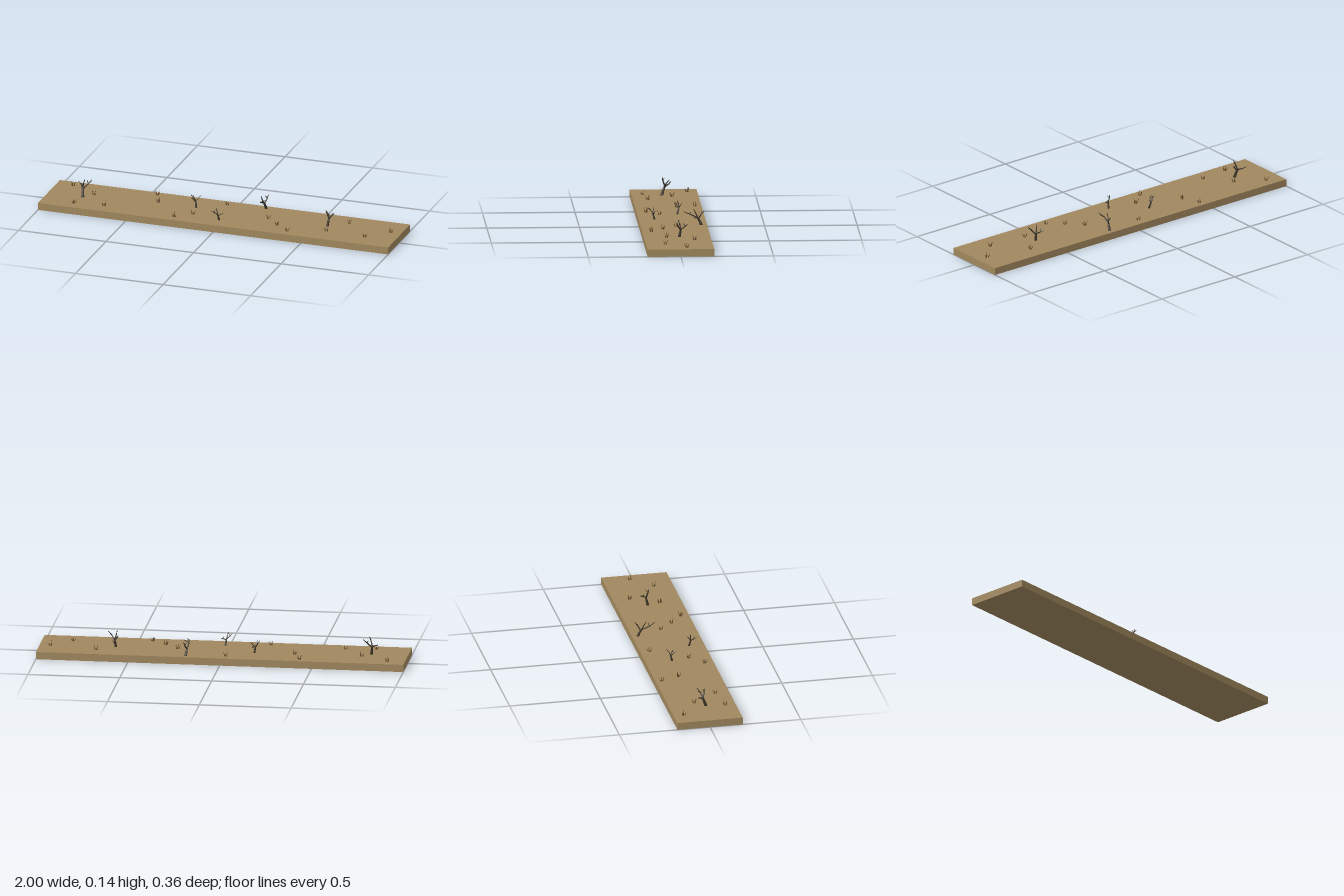
import * as THREE from 'three';

const UP = new THREE.Vector3(0, 1, 0);
const GROUND = 0.04;
const vec = (x, y, z) => new THREE.Vector3(x, y, z);

// Tapered cylinder between two points
function stick(from, to, r0, r1, sides, material, name) {
  const dir = to.clone().sub(from);
  const geometry = new THREE.CylinderGeometry(r1, r0, dir.length(), sides);
  const mesh = new THREE.Mesh(geometry, material);
  mesh.position.copy(from).addScaledVector(dir, 0.5);
  mesh.quaternion.setFromUnitVectors(UP, dir.normalize());
  mesh.name = name;
  return mesh;
}

// Two tapered sticks with a kink at the elbow
function limb(from, elbow, to, r0, r1, material, name) {
  const group = new THREE.Group();
  group.name = name;
  const mid = (r0 + r1) / 2;
  group.add(stick(from, elbow, r0, mid, 6, material, name + 'Lower'));
  group.add(stick(elbow, to, mid, r1, 6, material, name + 'Upper'));
  return group;
}

// Dead shrub: bent trunk, one kinked branch per tip, and a side twig on every other branch
function deadShrub(r, [baseX, baseZ], forkAt, tips, material) {
  const shrub = new THREE.Group();
  shrub.name = 'deadShrub';
  const base = vec(baseX, GROUND - 0.005, baseZ);
  const fork = vec(...forkAt);
  const bend = base.clone().lerp(fork, 0.5);
  bend.y += 0.003;
  shrub.add(limb(base, bend, fork, r, r * 0.6, material, 'trunk'));
  tips.forEach((tipAt, i) => {
    const tip = vec(...tipAt);
    const start = bend.clone().lerp(fork, 1 - 0.15 * i);
    const span = tip.clone().sub(start);
    const elbow = start.clone().addScaledVector(span, 0.55);
    elbow.x -= span.z * 0.12;
    elbow.z += span.x * 0.12;
    shrub.add(limb(start, elbow, tip, r * 0.5, r * 0.22, material, 'branch'));
    if (i % 2 === 0) {
      const end = elbow.clone().add(vec(span.z * 0.35, 0.015, -span.x * 0.35));
      shrub.add(stick(elbow, end, r * 0.32, r * 0.2, 6, material, 'twig'));
    }
  });
  return shrub;
}

// Trunk radius, base x and z, fork point, branch tips
const SHRUBS = [
  [0.009, [-0.8, 0.02], [-0.807, 0.09, 0],
    [[-0.79, 0.14, 0.015], [-0.843, 0.107, -0.033], [-0.762, 0.13, -0.023]]],
  [0.006, [-0.17, -0.035], [-0.178, 0.077, -0.046],
    [[-0.2, 0.11, -0.037], [-0.155, 0.104, -0.065], [-0.193, 0.1, -0.022]]],
  [0.006, [0.005, 0.094], [0, 0.074, 0.104],
    [[-0.027, 0.1, 0.13], [-0.01, 0.11, 0.1], [0.028, 0.08, 0.092]]],
  [0.008, [0.19, -0.151], [0.183, 0.078, -0.13],
    [[0.19, 0.112, -0.055], [0.175, 0.124, -0.108], [0.197, 0.118, -0.163]]],
  [0.008, [0.587, -0.01], [0.593, 0.084, -0.02],
    [[0.567, 0.106, -0.056], [0.58, 0.132, -0.006], [0.63, 0.123, 0.002]]],
];

// Grass tuft centres: x, z
const TUFTS = [
  [-0.905, -0.125], [-0.755, -0.035], [-0.815, 0.12], [-0.65, 0.1],
  [-0.43, -0.145], [-0.39, -0.045], [-0.24, 0.13], [-0.155, 0.06],
  [-0.025, -0.13], [0.25, -0.01], [0.325, 0.065], [0.405, 0.13],
  [0.605, 0.06], [0.685, -0.09], [0.83, 0.075], [0.94, -0.035],
];

// Dry grass: five blades splayed around the centre, varied by the tuft's number
function grassTuft(x, z, t, material) {
  const tuft = new THREE.Group();
  tuft.name = 'grassTuft';
  tuft.position.set(x, GROUND, z);
  tuft.rotation.y = t * 1.3;
  for (let i = 0; i < 5; i++) {
    const a = (i / 5) * Math.PI * 2 + 0.2 * Math.sin(t + i * 2);
    const c = Math.cos(a), s = Math.sin(a);
    const reach = 0.013 + 0.004 * Math.sin(i * 3 + t);
    const height = 0.023 + 0.004 * Math.cos(i * 2 + t);
    tuft.add(stick(vec(c * 0.006, -0.001, s * 0.006), vec(c * reach, height, s * reach),
      0.0023, 0.0003, 4, material, 'grassBlade'));
  }
  return tuft;
}

export function createModel() {
  const model = new THREE.Group();
  model.name = 'dryGroundStrip';
  const earth = new THREE.MeshStandardMaterial({ color: 0xa1885e });
  const bark = new THREE.MeshStandardMaterial({ color: 0x3f382d });
  const straw = new THREE.MeshStandardMaterial({ color: 0x66492a });

  // Ground slab
  const slab = new THREE.Mesh(new THREE.BoxGeometry(2, GROUND, 0.36), earth);
  slab.position.y = GROUND / 2;
  slab.name = 'ground';
  model.add(slab);

  for (const [r, base, fork, tips] of SHRUBS) model.add(deadShrub(r, base, fork, tips, bark));
  TUFTS.forEach(([x, z], t) => model.add(grassTuft(x, z, t, straw)));
  return model;
}
